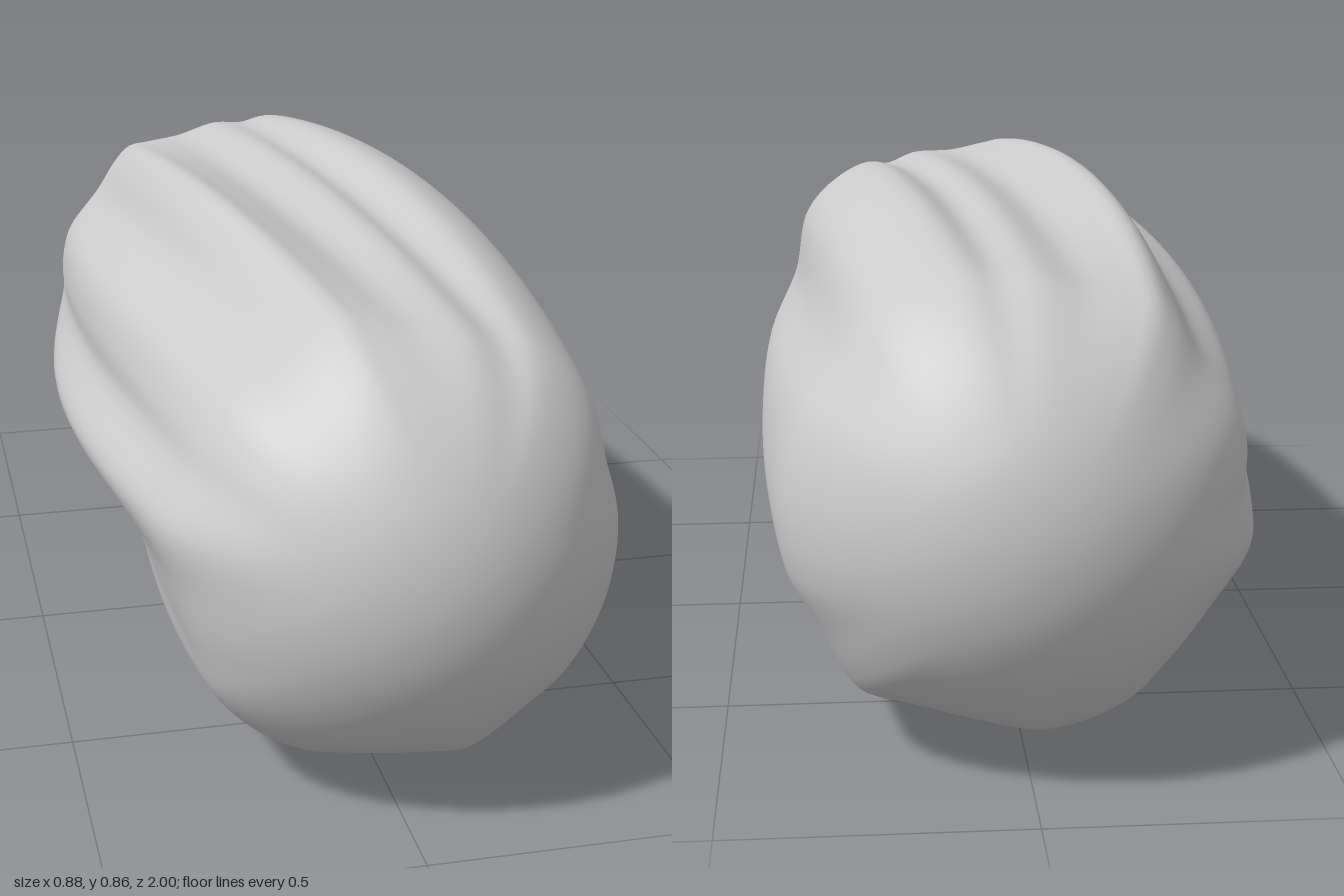
import * as THREE from 'three';

// Widest cross-section: crests and hollows around the body, centred on the axis
const SECTION = [
  [0.44, 0.0], [0.425, 0.11], [0.37, 0.21], [0.338, 0.335], [0.28, 0.395], [0.19, 0.43],
  [0.11, 0.403], [0.05, 0.418], [-0.04, 0.395], [-0.12, 0.415], [-0.18, 0.43], [-0.22, 0.39],
  [-0.265, 0.315], [-0.36, 0.245], [-0.385, 0.165], [-0.385, 0.105], [-0.44, 0.0], [-0.355, -0.115],
  [-0.31, -0.22], [-0.28, -0.32], [-0.2, -0.395], [-0.12, -0.425], [0.0, -0.395], [0.09, -0.39],
  [0.235, -0.417], [0.27, -0.375], [0.315, -0.28], [0.39, -0.205], [0.43, -0.1],
];
const SEGMENTS = 180, RINGS = 100;
const CORE = 0.35, CAP = 0.31, TWIST = -0.25, AXIS_Y = 0.427;

function createBody() {
  const curve = new THREE.CatmullRomCurve3(
    SECTION.map(([x, y]) => new THREE.Vector3(x, y, 0)), true, 'centripetal');
  const outline = curve.getSpacedPoints(SEGMENTS).slice(0, SEGMENTS)
    .map((p) => ({ a: Math.atan2(p.y, p.x), r: Math.hypot(p.x, p.y) }));

  const pos = [0.02, AXIS_Y, 1];
  for (let i = 1; i < RINGS; i++) {
    // Rings crowd together towards the rounded ends
    const z = Math.cos((i / RINGS) * Math.PI);
    const over = Math.max(0, Math.abs(z) - (1 - CAP)) / CAP;
    const round = Math.sqrt(1 - over * over);
    const swell = Math.max(0, 1 - (z / 0.95) ** 2);
    for (const { a, r } of outline) {
      const radius = round * (CORE + (r - CORE) * swell);
      const angle = a + TWIST * z;
      pos.push(Math.cos(angle) * radius + 0.02 * z * z, AXIS_Y + Math.sin(angle) * radius, z);
    }
  }
  pos.push(0.02, AXIS_Y, -1);

  // Join the rings and close both poles
  const index = [], last = pos.length / 3 - 1;
  const at = (ring, s) => 1 + ring * SEGMENTS + (s % SEGMENTS);
  for (let s = 0; s < SEGMENTS; s++) {
    index.push(0, at(0, s), at(0, s + 1));
    for (let i = 0; i < RINGS - 2; i++) {
      const a = at(i, s), b = at(i, s + 1), c = at(i + 1, s), d = at(i + 1, s + 1);
      index.push(a, c, b, b, c, d);
    }
    index.push(at(RINGS - 2, s), last, at(RINGS - 2, s + 1));
  }
  const geometry = new THREE.BufferGeometry();
  geometry.setAttribute('position', new THREE.Float32BufferAttribute(pos, 3));
  geometry.setIndex(index);
  geometry.computeVertexNormals();
  return geometry;
}

export function createModel() {
  const group = new THREE.Group();
  group.name = 'ridgedCapsule';
  const body = new THREE.Mesh(createBody(), new THREE.MeshStandardMaterial({ color: 0xcccccc }));
  body.name = 'body';
  group.add(body);
  return group;
}
